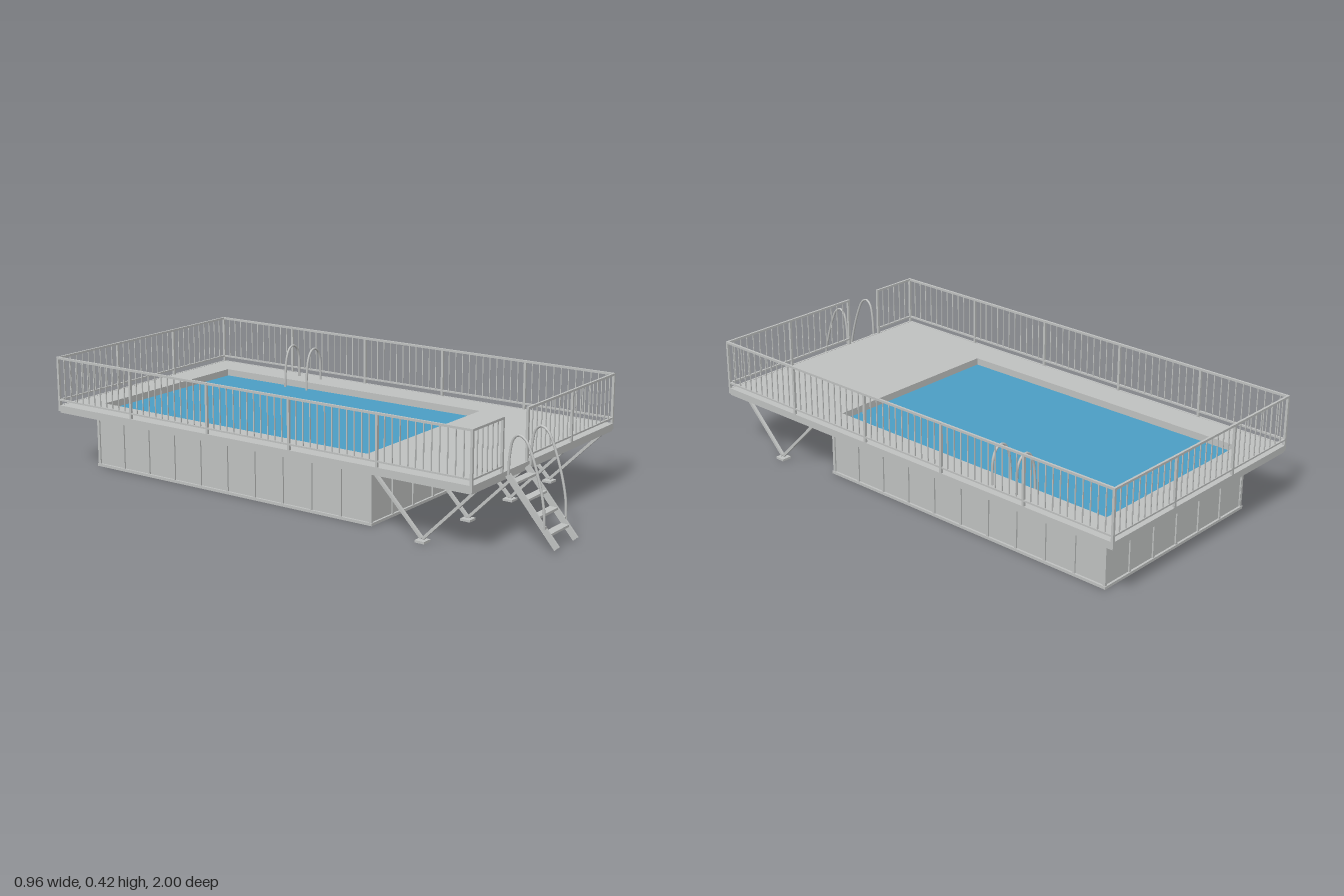
import * as THREE from 'three';

const grey = new THREE.MeshStandardMaterial({ color: 0xc0c2c1 });
grey.name = 'galvanised grey';
const waterBlue = new THREE.MeshStandardMaterial({ color: 0x4c9fc5 });
waterBlue.name = 'water blue';
const floorBlue = new THREE.MeshStandardMaterial({ color: 0x2b68a0 });
floorBlue.name = 'floor blue';

const V = (x, y, z) => new THREE.Vector3(x, y, z);

export function createModel() {
  const model = new THREE.Group();
  model.name = 'raisedPool';

  const group = (name) => {
    const g = new THREE.Group();
    g.name = name;
    model.add(g);
    return g;
  };
  const add = (parent, name, geometry, material = grey) => {
    const mesh = new THREE.Mesh(geometry, material);
    mesh.name = name;
    parent.add(mesh);
    return mesh;
  };
  // Box given by its centre and size
  const box = (parent, name, x, y, z, w, h, d, material) => {
    const mesh = add(parent, name, new THREE.BoxGeometry(w, h, d), material);
    mesh.position.set(x, y, z);
    return mesh;
  };
  // Bar of rectangular section between two points
  const bar = (parent, name, a, b, w, d) => {
    const mesh = add(parent, name, new THREE.BoxGeometry(w, d, a.distanceTo(b)));
    mesh.position.copy(a).add(b).multiplyScalar(0.5);
    mesh.lookAt(b);
    return mesh;
  };
  const tube = (parent, name, points, r) =>
    add(parent, name, new THREE.TubeGeometry(new THREE.CatmullRomCurve3(points), 32, r, 8));
  // Flat rectangular ring lying between y0 and y1; rectangles are [x, zMin, zMax]
  const ring = (parent, name, outer, inner, y0, y1) => {
    const outline = (Type, [x, z0, z1]) => new Type([
      new THREE.Vector2(-x, -z1), new THREE.Vector2(x, -z1),
      new THREE.Vector2(x, -z0), new THREE.Vector2(-x, -z0)]);
    const shape = outline(THREE.Shape, outer);
    shape.holes.push(outline(THREE.Path, inner));
    const geometry = new THREE.ExtrudeGeometry(shape, { depth: y1 - y0, bevelEnabled: false });
    geometry.rotateX(-Math.PI / 2).translate(0, y0, 0);
    return add(parent, name, geometry);
  };

  // Deck boards, edge fascia and joists
  const deck = group('deck');
  ring(deck, 'deckBoards', [0.479, -0.999, 0.799], [0.358, -0.88, 0.318], 0.232, 0.24);
  ring(deck, 'fascia', [0.48, -1, 0.8], [0.472, -0.992, 0.792], 0.219, 0.241);
  ring(deck, 'lowerEdge', [0.476, -0.996, 0.796], [0.466, -0.986, 0.786], 0.212, 0.22);
  for (let i = 0; i < 6; i++)
    box(deck, 'joist', 0, 0.222, 0.385 + i * 0.073, 0.944, 0.02, 0.016);

  // Pool tank: panels, water, floor and coping
  const tank = group('tank');
  box(tank, 'tankWalls', 0, 0.1065, -0.275, 0.752, 0.205, 1.242);
  ring(tank, 'poolRim', [0.376, -0.898, 0.336], [0.358, -0.88, 0.318], 0.205, 0.233);
  box(tank, 'water', 0, 0.211, -0.281, 0.716, 0.006, 1.198, waterBlue);
  box(tank, 'poolFloor', 0, 0.003, -0.275, 0.75, 0.004, 1.24, floorBlue);
  ring(tank, 'bottomRail', [0.384, -0.904, 0.354], [0.373, -0.893, 0.343], 0, 0.01);
  ring(tank, 'topRail', [0.382, -0.902, 0.352], [0.373, -0.893, 0.343], 0.2, 0.212);
  for (let i = 0; i <= 6; i++)
    for (const z of [0.346, -0.896])
      box(tank, 'wallRib', -0.377 + i * 0.754 / 6, 0.107, z, 0.009, 0.205, 0.011);
  for (let i = 0; i <= 10; i++)
    for (const s of [-1, 1])
      box(tank, 'wallRib', s * 0.376, 0.107, 0.346 - i * 0.1242, 0.011, 0.205, 0.009);

  // Braces carrying the overhang along both sides and the back
  const braces = group('deckBraces');
  for (const s of [-1, 1])
    for (let i = 0; i < 6; i++) {
      const z = 0.31 - i * 0.236;
      bar(braces, 'brace', V(s * 0.38, 0.188, z), V(s * 0.425, 0.22, z), 0.008, 0.008);
      box(braces, 'braceArm', s * 0.42, 0.226, z, 0.1, 0.012, 0.01);
    }
  for (const x of [-0.33, -0.11, 0.11, 0.33]) {
    bar(braces, 'brace', V(x, 0.188, -0.9), V(x, 0.22, -0.945), 0.008, 0.008);
    box(braces, 'braceArm', x, 0.226, -0.94, 0.01, 0.012, 0.1);
  }

  // V-shaped legs under the front deck
  const legs = group('frontLegs');
  for (const x of [-0.42, -0.14, 0.14, 0.42]) {
    bar(legs, 'leg', V(x, 0.012, 0.582), V(x, 0.218, 0.79), 0.011, 0.01);
    bar(legs, 'leg', V(x, 0.012, 0.578), V(x, 0.218, 0.375), 0.011, 0.01);
    box(legs, 'footPlate', x, 0.004, 0.58, 0.038, 0.008, 0.038);
    box(legs, 'legHeader', x, 0.216, 0.58, 0.011, 0.009, 0.42);
  }

  // Railing sections between pairs of posts [x, z]
  const railing = group('railing');
  const post = (x, z) => box(railing, 'post', x, 0.331, z, 0.009, 0.186, 0.009);
  const section = (x0, z0, x1, z1) => {
    post(x0, z0);
    post(x1, z1);
    for (const [y, h] of [[0.42, 0.008], [0.261, 0.006]])
      bar(railing, 'rail', V(x0, y, z0), V(x1, y, z1), 0.008, h);
    const count = Math.round(Math.hypot(x1 - x0, z1 - z0) / 0.031);
    for (let i = 1; i < count; i++) {
      const t = i / count;
      box(railing, 'baluster', x0 + (x1 - x0) * t, 0.34, z0 + (z1 - z0) * t, 0.0035, 0.156, 0.0035);
    }
  };
  const X = 0.4755, ZB = -0.9955, ZF = 0.7955;
  for (const s of [-1, 1])
    for (let i = 0; i < 5; i++) {
      const step = (ZF - ZB) / 5;
      section(s * X, ZF - i * step, s * X, ZF - (i + 1) * step);
    }
  for (const [a, b] of [[-X, -0.16], [-0.16, 0.16], [0.16, X]]) section(a, ZB, b, ZB);
  for (const [a, b] of [[-X, -0.292], [-0.132, 0.171], [0.171, X]]) section(a, ZF, b, ZF);

  // Entry steps with looped handrails
  const steps = group('entrySteps');
  for (const x of [-0.271, -0.147])
    bar(steps, 'stringer', V(x, 0.23, 0.806), V(x, 0.016, 0.992), 0.006, 0.022);
  for (let i = 0; i < 4; i++)
    box(steps, 'tread', -0.209, 0.057 + i * 0.05, 0.953 - i * 0.0425, 0.12, 0.008, 0.03);
  for (const x of [-0.283, -0.14]) {
    tube(steps, 'handrail', [V(x, 0.075, 0.95), V(x, 0.14, 0.947), V(x, 0.22, 0.93),
      V(x, 0.31, 0.9), V(x, 0.358, 0.875), V(x, 0.371, 0.85), V(x, 0.355, 0.83),
      V(x, 0.3, 0.818), V(x, 0.235, 0.815)], 0.0045);
    box(steps, 'handrailBracket', x + (x < -0.2 ? 0.006 : -0.004), 0.08, 0.948, 0.014, 0.008, 0.01);
  }

  // Arched grab rails at the pool edge
  const grabs = group('poolLadder');
  for (const z of [-0.463, -0.568])
    tube(grabs, 'grabRail', [V(0.336, 0.205, z), V(0.339, 0.27, z), V(0.348, 0.33, z),
      V(0.365, 0.362, z), V(0.388, 0.372, z), V(0.411, 0.36, z), V(0.425, 0.33, z),
      V(0.428, 0.29, z), V(0.428, 0.236, z)], 0.0045);

  return model;
}
